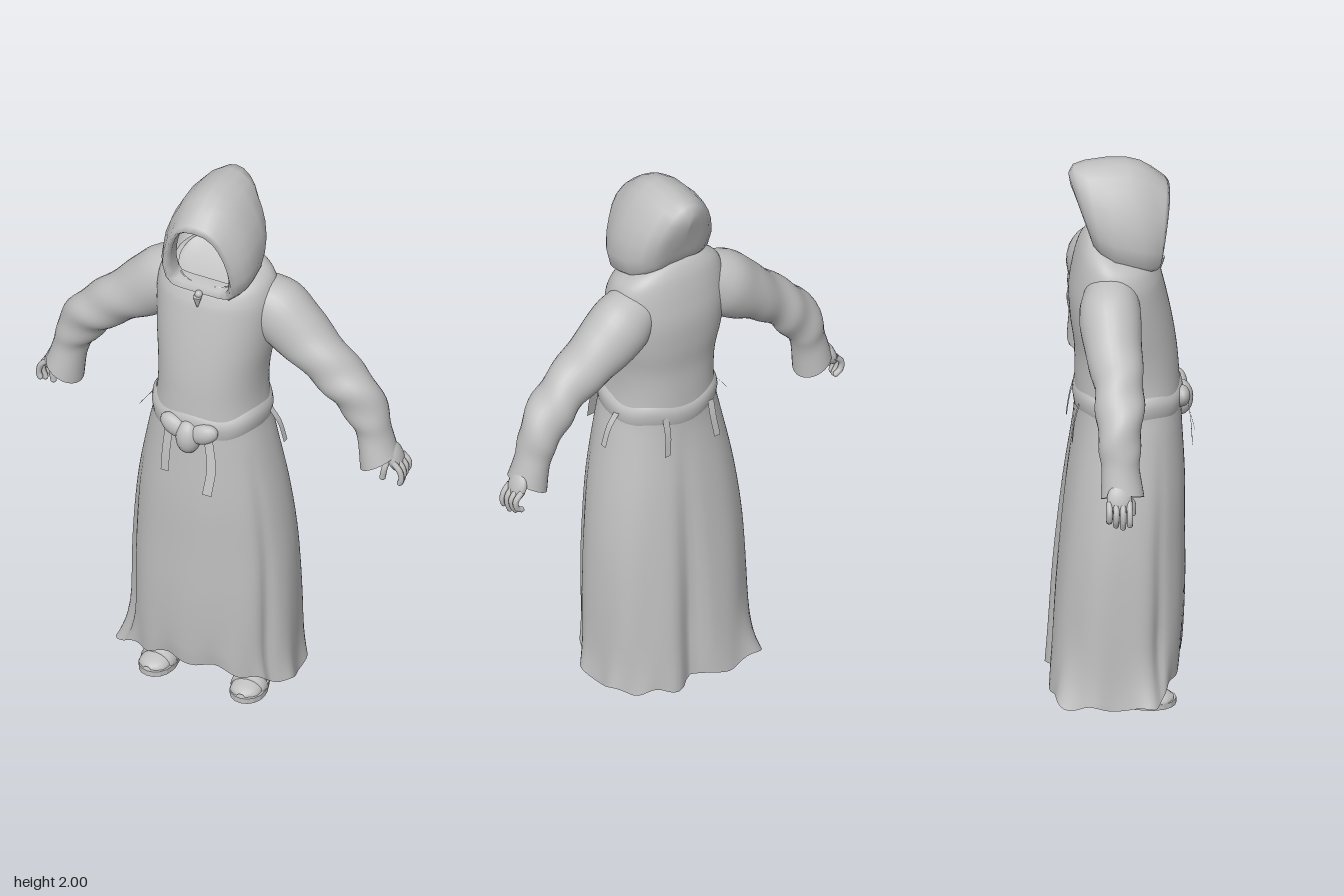
import * as THREE from 'three';

const cloth = new THREE.MeshStandardMaterial({ color: 0xc0c0c0, side: THREE.DoubleSide });
cloth.name = 'pale grey';

const V = (x, y, z) => new THREE.Vector3(x, y, z);
const bump = (v, centre, width) => Math.exp(-(((v - centre) / width) ** 2));
const ramp = (v, from, to) => THREE.MathUtils.clamp((v - from) / (to - from), 0, 1);
const power = (v, e) => Math.sign(v) * Math.abs(v) ** e;

function add(group, name, geometry) {
  const mesh = new THREE.Mesh(geometry, cloth);
  mesh.name = name;
  group.add(mesh);
  return mesh;
}

// Catmull-Rom refinement of a table of cross-section values
function refine(rows, steps) {
  const out = [];
  const at = (i) => rows[Math.min(Math.max(i, 0), rows.length - 1)];
  for (let i = 0; i < rows.length - 1; i++) {
    for (let k = 0; k < steps; k++) {
      const t = k / steps;
      out.push(rows[i].map((p1, c) => {
        const p0 = at(i - 1)[c], p2 = at(i + 1)[c], p3 = at(i + 2)[c];
        return p1 + 0.5 * t * (p2 - p0 + t * (2 * p0 - 5 * p1 + 4 * p2 - p3 + t * (3 * (p1 - p2) + p3 - p0)));
      }));
    }
  }
  out.push(rows[rows.length - 1]);
  return out;
}

// Skin rows of points into a smooth surface, closed around each row unless open
function loft(rings, open = false) {
  const n = rings[0].length, pos = [], index = [];
  rings.forEach((ring) => ring.forEach((p) => pos.push(p.x, p.y, p.z)));
  for (let i = 0; i < rings.length - 1; i++) {
    for (let j = 0; j < (open ? n - 1 : n); j++) {
      const a = i * n + j, b = i * n + ((j + 1) % n);
      index.push(a, a + n, b, b, a + n, b + n);
    }
  }
  const g = new THREE.BufferGeometry();
  g.setAttribute('position', new THREE.Float32BufferAttribute(pos, 3));
  g.setIndex(index);
  g.computeVertexNormals();
  return g;
}

// Robe: y, half width, front z, back depth, centre z
function robe() {
  const rows = refine([
    [0.04, 0.305, 0.2, 0.25, 0], [0.15, 0.295, 0.21, 0.245, 0], [0.4, 0.292, 0.22, 0.23, 0],
    [0.6, 0.283, 0.22, 0.212, 0], [0.8, 0.26, 0.22, 0.19, 0.01], [1.0, 0.222, 0.21, 0.162, 0.02],
    [1.1, 0.2, 0.205, 0.155, 0.02], [1.2, 0.187, 0.2, 0.155, 0.01], [1.3, 0.19, 0.192, 0.157, 0],
    [1.4, 0.205, 0.177, 0.17, -0.02], [1.5, 0.215, 0.157, 0.175, -0.03], [1.58, 0.215, 0.138, 0.165, -0.03],
    [1.64, 0.2, 0.122, 0.145, -0.03], [1.67, 0.17, 0.11, 0.125, -0.02], [1.685, 0.13, 0.1, 0.105, -0.01],
  ], 4);
  const n = 96;
  return loft(rows.map(([y, hw, front, back, cz]) => Array.from({ length: n }, (_, j) => {
    const a = (j / n) * Math.PI * 2, c = Math.cos(a), s = Math.sin(a);
    const skirt = ramp(y, 1.05, 0.25), hem = ramp(y, 0.3, 0.04);
    const groove = 0.15 * bump(a, 4.8, 0.1) + 0.06 * (bump(a, 0.5, 0.1) + bump(a, 2.65, 0.1));
    const fold = 1 + skirt * (0.012 * Math.sin(9 * a + 2 * y) - groove)
      + hem * hem * (0.2 * bump(a, 2.75, 0.22) + 0.16 * bump(a, 3.98, 0.3) + 0.02 * Math.sin(13 * a));
    const lift = hem * (0.09 * Math.max(0, s) ** 1.5 + 0.01 * Math.sin(11 * a) + 0.005)
      - 0.04 * s * ramp(y, 1.58, 1.68);
    const e = s < 0 ? 0.9 - 0.08 * skirt : 0.9;
    return V(hw * power(c, e) * fold, y + lift, cz + (s > 0 ? front - cz : back + cz) * power(s, e) * fold);
  })));
}

// Hood: bottom z, top z, bottom y, top y, half width, roundness; from inside the rim over to the back
function hood() {
  const half = [[0, 0], [0.45, 0], [0.75, 0.02], [0.92, 0.1], [1, 0.28], [0.93, 0.48], [0.81, 0.64],
    [0.63, 0.8], [0.43, 0.91], [0.2, 0.98], [0, 1]];
  const outline = half.concat(half.slice(1, -1).reverse().map(([x, y]) => [-x, y]));
  const rows = [
    [0.06, 0.09, 1.65, 1.885, 0.115, 0.6], [0.11, 0.145, 1.645, 1.885, 0.11, 0.6],
    [0.125, 0.168, 1.627, 1.9, 0.125, 0.7], [0.115, 0.155, 1.62, 1.92, 0.14, 0.85],
    [0.09, 0.11, 1.618, 1.96, 0.158, 1], [0.065, 0.07, 1.625, 1.985, 0.168, 1],
    [0.03, 0.02, 1.635, 2.0, 0.172, 1], [-0.03, -0.05, 1.655, 2.0, 0.17, 0.95],
    [-0.075, -0.12, 1.69, 1.992, 0.15, 0.9], [-0.1, -0.16, 1.715, 1.982, 0.115, 0.9],
    [-0.115, -0.177, 1.76, 1.955, 0.07, 0.9], [-0.14, -0.17, 1.83, 1.91, 0, 1],
  ];
  return loft(rows.map(([zb, zt, yb, yt, hw, e]) => outline.map(([x, t]) =>
    V(power(x, e) * hw, yb + t * (yt - yb), zb + t * (zt - zb)))));
}

// Sleeve: centre x, y, z, radius across the arm, radius in depth
function sleeve(side) {
  const rows = refine([
    [0.12, 1.575, -0.045, 0.08, 0.085], [0.2, 1.525, -0.055, 0.115, 0.105], [0.28, 1.46, -0.055, 0.108, 0.102],
    [0.36, 1.4, -0.05, 0.092, 0.092], [0.44, 1.335, -0.045, 0.083, 0.085], [0.505, 1.27, -0.05, 0.082, 0.08],
    [0.555, 1.19, -0.055, 0.073, 0.072], [0.578, 1.12, -0.055, 0.06, 0.066], [0.6, 1.035, -0.05, 0.066, 0.074],
  ], 4);
  const n = 28;
  return loft(rows.map(([x, y, z, rn, rz], i) => {
    const p = rows[Math.max(i - 1, 0)], q = rows[Math.min(i + 1, rows.length - 1)];
    const len = Math.hypot(q[0] - p[0], q[1] - p[1]);
    const nx = -(q[1] - p[1]) / len, ny = (q[0] - p[0]) / len;
    const u = i / (rows.length - 1);
    return Array.from({ length: n }, (_, j) => {
      const a = (j / n) * Math.PI * 2;
      const k = 1 + 0.06 * bump(u, 0.6, 0.25) * Math.sin(30 * u + 2 * a);
      const r = rn * k * Math.cos(a);
      return V(side * (x + nx * r), y + ny * r - 0.04 * bump(u, 1, 0.06) * (1 - Math.cos(a)) / 2,
        z + rz * k * Math.sin(a));
    });
  }));
}

function hand(side) {
  const g = new THREE.Group();
  const digit = (name, points, r) => {
    const path = points.map(([x, y, z]) => V(side * x, y, z));
    add(g, name, new THREE.TubeGeometry(new THREE.CatmullRomCurve3(path), 10, r, 8));
    add(g, name + 'Tip', new THREE.SphereGeometry(r, 8, 6)).position.copy(path[path.length - 1]);
  };
  digit('wrist', [[0.59, 1.13, -0.055], [0.62, 1.07, -0.06], [0.64, 1.04, -0.065]], 0.028);
  const palm = add(g, 'palm', new THREE.SphereGeometry(1, 16, 12));
  palm.scale.set(0.022, 0.055, 0.043);
  palm.position.set(side * 0.653, 1.035, -0.066);
  palm.rotation.z = side * 0.35;
  for (let i = 0; i < 4; i++) {
    const z = -0.033 - i * 0.023, end = 0.938 + 0.012 * Math.abs(i - 1.3);
    digit('finger', [[0.66, 1.03, z], [0.686, 1.0, z], [0.692 - 0.004 * i, 0.97, z], [0.686 - 0.008 * i, end, z]], 0.0105);
  }
  digit('thumb', [[0.64, 1.05, -0.045], [0.635, 1.01, -0.02], [0.628, 0.97, -0.018]], 0.0115);
  return g;
}

// Foot in a strapped sandal with the lower leg above it
function foot(side) {
  const g = new THREE.Group();
  const sole = new THREE.Shape();
  sole.moveTo(-0.04, -0.08);
  sole.bezierCurveTo(-0.04, -0.12, 0.04, -0.12, 0.04, -0.08);
  sole.bezierCurveTo(0.03, 0, 0.065, 0.05, 0.065, 0.1);
  sole.bezierCurveTo(0.065, 0.2, -0.055, 0.2, -0.06, 0.1);
  sole.bezierCurveTo(-0.065, 0.05, -0.03, 0, -0.04, -0.08);
  const soleGeo = new THREE.ExtrudeGeometry(sole, { depth: 0.02, bevelEnabled: false, curveSegments: 8 });
  add(g, 'sandalSole', soleGeo.rotateX(Math.PI / 2).translate(0, 0.02, 0));
  const rows = refine([[-0.1, 0.01, 0.03], [-0.08, 0.034, 0.075], [-0.03, 0.037, 0.1], [0.03, 0.045, 0.085],
    [0.09, 0.056, 0.06], [0.14, 0.05, 0.045], [0.165, 0.015, 0.03]], 3);
  const ring = (z, w, h, r) => Array.from({ length: 16 }, (_, j) => {
    const a = (j / 16) * Math.PI * 2;
    return V((w + r) * Math.cos(a), 0.018 + (h - 0.018 + r) * Math.max(0, Math.sin(a)), z);
  });
  add(g, 'foot', loft(rows.map(([z, w, h]) => ring(z, w, h, 0))));
  for (const [z, w, h] of [[0.02, 0.045, 0.088], [0.09, 0.056, 0.06]]) {
    add(g, 'sandalStrap', loft([ring(z - 0.018, w, h + 0.007, 0), ring(z - 0.016, w, h, 0.01),
      ring(z + 0.016, w, h, 0.006), ring(z + 0.018, w, h - 0.008, 0)]));
  }
  add(g, 'ankle', new THREE.CylinderGeometry(0.045, 0.034, 0.16, 16, 1, true)).position.set(0, 0.15, -0.045);
  g.position.x = side * 0.165;
  g.rotation.y = side * 0.08;
  return g;
}

// Thin hanging cloth strip along a path
function strip(points, width, across) {
  const path = new THREE.CatmullRomCurve3(points.map((p) => V(...p)));
  return loft(path.getPoints(8).map((p) => [p.clone().addScaledVector(across, width / 2),
    p.clone().addScaledVector(across, -width / 2)]), true);
}

export function createModel() {
  const model = new THREE.Group();
  model.name = 'hoodedRobedFigure';
  add(model, 'robe', robe());
  add(model, 'hood', hood());

  for (const side of [1, -1]) {
    const name = side > 0 ? 'left' : 'right';
    add(model, name + 'Sleeve', sleeve(side));
    const h = hand(side), f = foot(side);
    h.name = name + 'Hand';
    f.name = name + 'Foot';
    model.add(h, f);
  }

  // Gathered cloth belt with a front knot and loose ends
  const belt = [[1.07, -0.006], [1.09, 0.003], [1.125, 0.008], [1.15, 0.004], [1.165, -0.008]];
  add(model, 'belt', loft(belt.map(([y, r]) => Array.from({ length: 64 }, (_, j) => {
    const a = (j / 64) * Math.PI * 2, s = Math.sin(a);
    return V((0.198 + r) * power(Math.cos(a), 0.9), y + 0.008 * Math.sin(5 * a),
      0.02 + (s > 0 ? 0.185 + r : 0.175 + r) * power(s, 0.9));
  }))));
  for (const [x, y, rx, ry, rz, tilt] of [[0, 1.08, 0.045, 0.065, 0.045, 0], [-0.05, 1.11, 0.06, 0.038, 0.03, -0.5],
    [0.055, 1.105, 0.06, 0.038, 0.03, 0.4]]) {
    const knot = add(model, 'beltKnot', new THREE.SphereGeometry(1, 16, 12));
    knot.scale.set(rx, ry, rz);
    knot.position.set(x, y, 0.205);
    knot.rotation.z = tilt;
  }
  const X = V(1, 0, 0), Z = V(0, 0, 1);
  add(model, 'beltEnd', strip([[-0.065, 1.1, 0.225], [-0.07, 1.02, 0.235], [-0.073, 0.935, 0.24]], 0.03, X));
  add(model, 'beltEnd', strip([[0.08, 1.1, 0.215], [0.105, 1.0, 0.24], [0.1, 0.9, 0.265]], 0.035, X));
  add(model, 'sideTie', strip([[-0.2, 1.1, 0], [-0.24, 1.06, 0], [-0.285, 1.0, 0.01]], 0.025, Z));
  add(model, 'sideTie', strip([[0.2, 1.12, -0.02], [0.235, 1.07, -0.02], [0.257, 1.0, -0.02]], 0.025, Z));
  for (const x of [-0.1, 0.09]) {
    add(model, 'backTie', strip([[x, 1.12, -0.15], [x, 1.06, -0.165], [x * 1.1, 0.98, -0.175]], 0.025, X));
  }

  // Small clasp below the hood
  const clasp = add(model, 'claspPendant', new THREE.ConeGeometry(0.016, 0.05, 8));
  clasp.position.set(0, 1.595, 0.138);
  clasp.rotation.x = Math.PI;
  add(model, 'claspKnot', new THREE.SphereGeometry(0.014, 10, 8)).position.set(0, 1.625, 0.128);
  return model;
}
